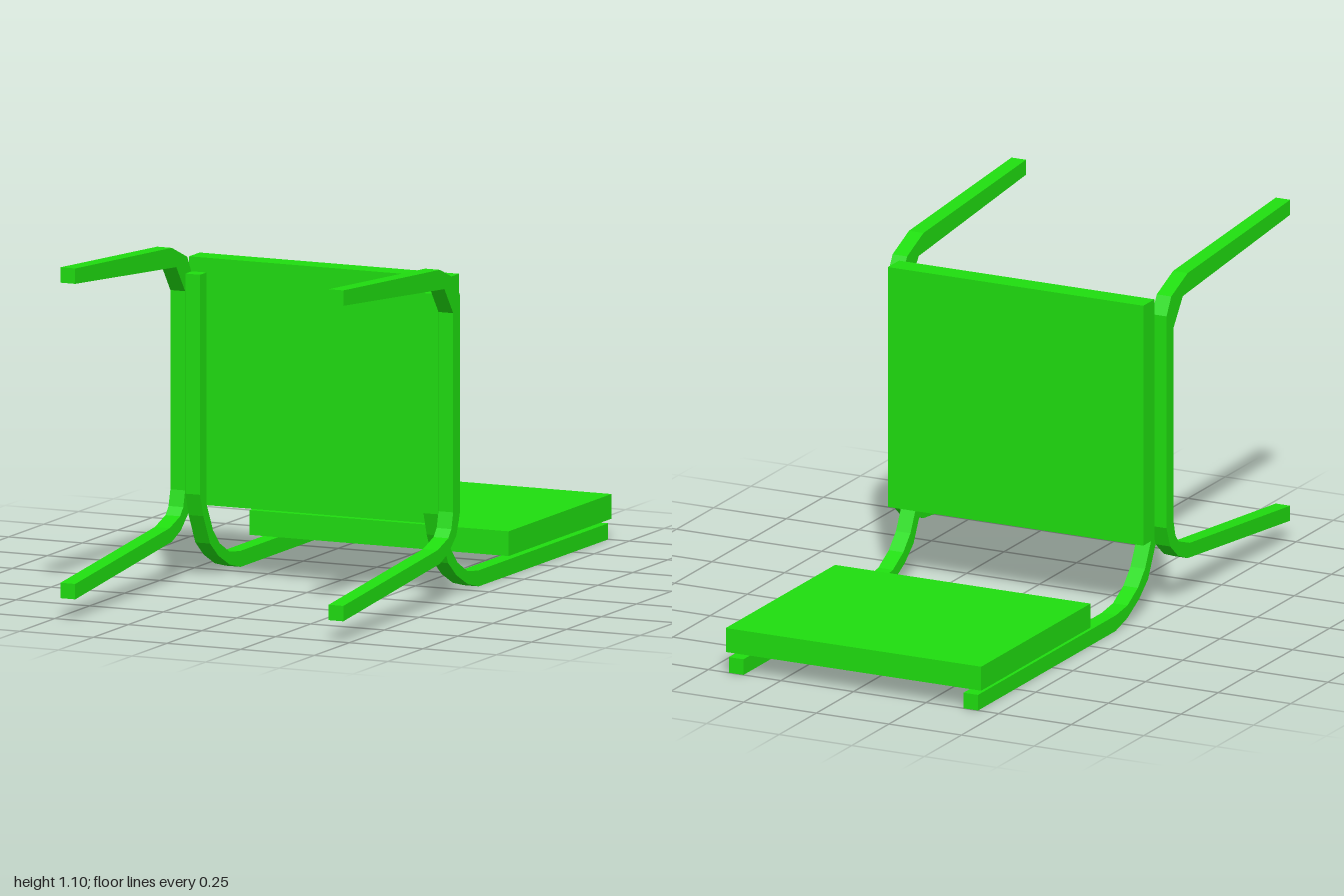
import * as THREE from 'three';

const material = new THREE.MeshStandardMaterial({ color: 0x1fdd0f, flatShading: true });

// Extrude a side profile of [z, y] points between two x positions
function sideBar(name, points, x0, x1) {
  const shape = new THREE.Shape(points.map(([z, y]) => new THREE.Vector2(z, y)));
  const geometry = new THREE.ExtrudeGeometry(shape, { depth: x1 - x0, bevelEnabled: false });
  geometry.rotateY(-Math.PI / 2).translate(x1, 0, 0);
  const mesh = new THREE.Mesh(geometry, material);
  mesh.name = name;
  return mesh;
}

// Box given by its minimum and maximum corners
function panel(name, min, max) {
  const size = max.map((v, i) => v - min[i]);
  const mesh = new THREE.Mesh(new THREE.BoxGeometry(...size), material);
  mesh.position.set(...max.map((v, i) => (v + min[i]) / 2));
  mesh.name = name;
  return mesh;
}

export function createModel() {
  const group = new THREE.Group();
  group.name = 'tippedChair';

  // The chair lies on its back: the seat stands upright, the backrest is flat
  group.add(panel('seat', [-0.44, 0.23, 0.09], [0.44, 1.0, 0.165]));
  group.add(panel('backrest', [-0.44, 0.065, -1], [0.44, 0.142, -0.265]));

  // U-shaped leg: front leg on top, seat run, rear leg below
  const leg = [
    [1, 1.095], [0.31, 1.05], [0.2, 1.005], [0.168, 0.95],
    [0.168, 0.27], [0.192, 0.205], [0.246, 0.16], [0.31, 0.135], [1, 0.065],
    [1, 0.113], [0.325, 0.18], [0.25, 0.205], [0.228, 0.23], [0.215, 0.28],
    [0.215, 0.9], [0.278, 0.985], [1, 1.047],
  ];

  // Rail under the seat that bends round into the back support
  const rail = [
    [0.17, 0.955], [0.17, 0.235], [0.123, 0.145], [0.075, 0.097], [0.005, 0.06], [-0.07, 0.05],
    [-1, 0.05], [-1, 0], [-0.075, 0], [0.005, 0.02], [0.085, 0.06], [0.144, 0.107],
    [0.192, 0.2], [0.215, 0.27], [0.215, 0.955],
  ];

  for (const [side, s] of [['left', 1], ['right', -1]]) {
    const span = (a, b) => (s > 0 ? [a, b] : [-b, -a]);
    group.add(sideBar(side + 'LegFrame', leg, ...span(0.43, 0.48)));
    group.add(sideBar(side + 'SeatAndBackRail', rail, ...span(0.379, 0.429)));
  }
  return group;
}
